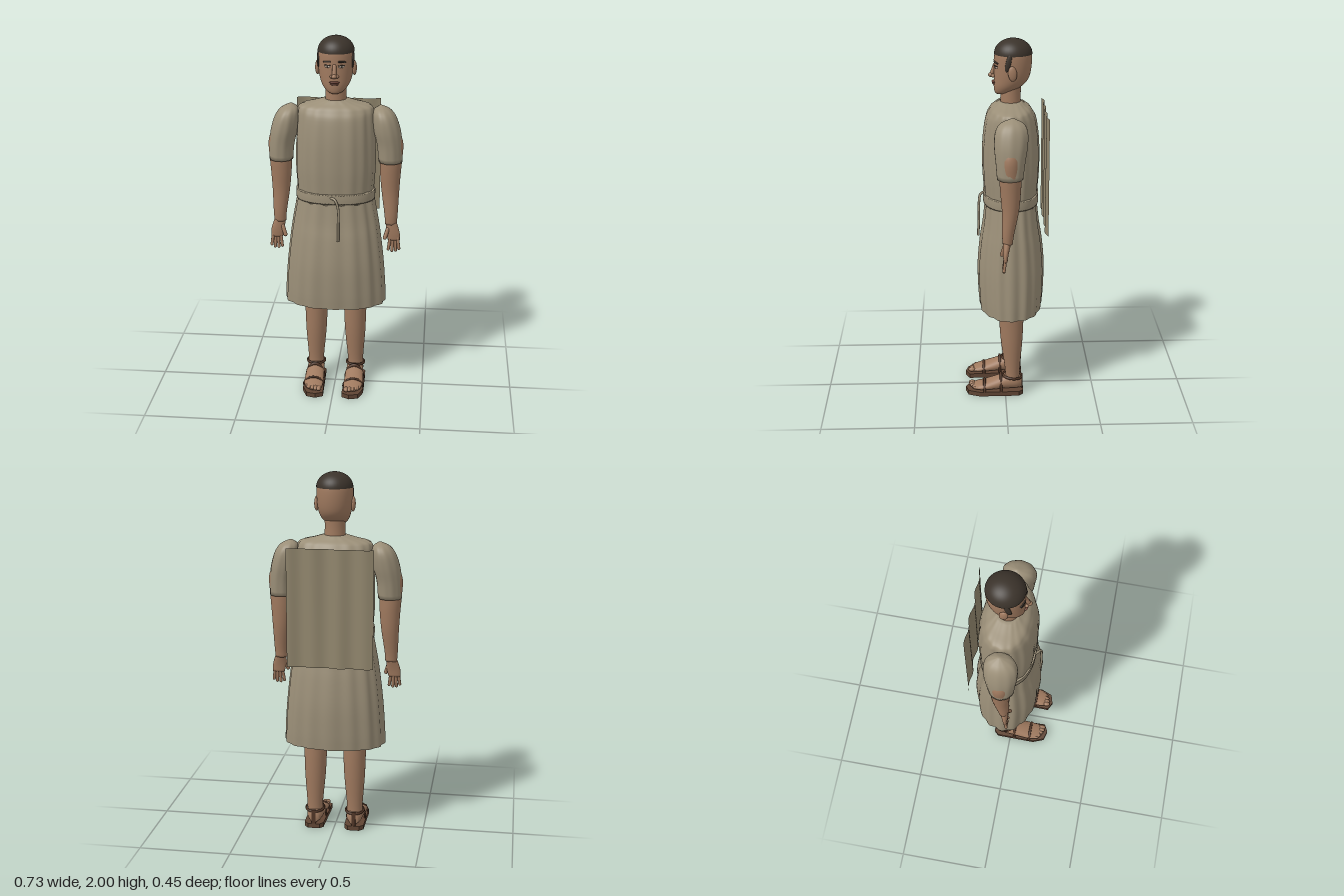
import * as THREE from 'three';

const mat = (name, color, side = THREE.FrontSide) => {
  const m = new THREE.MeshStandardMaterial({ color, side });
  m.name = name;
  return m;
};

// Smooth body through elliptical rings [y, cx, cz, rx, rz], listed upwards.
function loft(rows, { seg = 32, steps = 4, pow = 1, fold = 0, folds = 16, caps = true } = {}) {
  const centre = new THREE.CatmullRomCurve3(rows.map(r => new THREE.Vector3(r[1], r[0], r[2])), false, 'catmullrom');
  const size = new THREE.CatmullRomCurve3(rows.map(r => new THREE.Vector3(r[3], 0, r[4])), false, 'catmullrom');
  const n = (rows.length - 1) * steps, pos = [], idx = [];
  const bend = v => Math.sign(v) * Math.abs(v) ** pow;
  for (let i = 0; i <= n; i++) {
    const c = centre.getPoint(i / n), r = size.getPoint(i / n);
    for (let j = 0; j < seg; j++) {
      const a = j / seg * Math.PI * 2;
      const f = 1 + fold * (Math.cos(a * folds) + 0.5 * Math.sin(a * (folds / 2 - 1)));
      pos.push(c.x + bend(Math.cos(a)) * r.x * f, c.y, c.z + bend(Math.sin(a)) * r.z * f);
    }
  }
  for (let i = 0; i < n; i++) for (let j = 0; j < seg; j++) {
    const k = (j + 1) % seg, a = i * seg + j, b = i * seg + k;
    idx.push(a, a + seg, b, b, a + seg, b + seg);
  }
  if (caps) {
    const first = rows[0], last = rows[rows.length - 1], c = pos.length / 3;
    pos.push(first[1], first[0], first[2], last[1], last[0], last[2]);
    for (let j = 0; j < seg; j++) {
      const k = (j + 1) % seg;
      idx.push(c, j, k, c + 1, n * seg + k, n * seg + j);
    }
  }
  const g = new THREE.BufferGeometry();
  g.setAttribute('position', new THREE.Float32BufferAttribute(pos, 3));
  g.setIndex(idx);
  g.computeVertexNormals();
  return g;
}

export function createModel() {
  const model = new THREE.Group();
  const skin = mat('skin', 0xa07a5f), cloth = mat('tunic cloth', 0x9b8f78, THREE.DoubleSide);
  const cloak = mat('cloak cloth', 0x91866d, THREE.DoubleSide), hair = mat('hair', 0x3b332b);
  const leather = mat('strap leather', 0x4f3526), soleMat = mat('sole leather', 0x604534);
  const lip = mat('lips', 0x74483a), white = mat('eye white', 0xb5a797);
  const add = (name, g, m, p = [0, 0, 0], s = [1, 1, 1], r = [0, 0, 0], parent = model) => {
    const o = new THREE.Mesh(g, m);
    o.name = name;
    o.position.set(...p);
    o.scale.set(...s);
    o.rotation.set(...r);
    parent.add(o);
    return o;
  };
  const ball = new THREE.SphereGeometry(1, 20, 14);

  // Tunic
  const Z = -0.032;
  add('tunicBody', loft([
    [1.1, 0, Z, 0.203, 0.138], [1.17, 0, Z, 0.205, 0.142], [1.3, 0, Z, 0.213, 0.151], [1.45, 0, Z, 0.21, 0.15],
    [1.57, 0, Z, 0.204, 0.135], [1.615, 0, Z, 0.2, 0.115], [1.635, 0, Z, 0.18, 0.1],
    [1.65, 0, Z, 0.12, 0.078], [1.667, 0, Z, 0.062, 0.056],
  ], { seg: 128, pow: 0.88, fold: 0.013 }), cloth);
  add('skirt', loft([
    [0.51, 0, Z, 0.276, 0.17], [0.6, 0, Z, 0.273, 0.177], [0.75, 0, Z, 0.262, 0.18], [0.9, 0, Z, 0.245, 0.167],
    [1.0, 0, Z, 0.23, 0.151], [1.13, 0, Z, 0.206, 0.137],
  ], { seg: 128, pow: 0.92, fold: 0.018, caps: false }), cloth);

  // Belt with a hanging end
  add('belt', loft([[1.118, 0, Z, 0.214, 0.149], [1.145, 0, Z, 0.215, 0.15], [1.172, 0, Z, 0.214, 0.149]],
    { seg: 96, pow: 0.88 }), cloth);
  const tail = new THREE.CatmullRomCurve3([
    [-0.015, 1.155, 0.112], [0.01, 1.15, 0.132], [0.027, 1.105, 0.14], [0.028, 1.02, 0.141], [0.028, 0.92, 0.145],
  ].map(p => new THREE.Vector3(...p)));
  add('beltEnd', new THREE.TubeGeometry(tail, 30, 0.007, 8), cloth);

  // Rippled cloak panel behind the back
  const sheet = new THREE.PlaneGeometry(0.46, 0.64, 64, 8), sp = sheet.attributes.position;
  for (let i = 0; i < sp.count; i++) {
    const x = sp.getX(i);
    sp.setZ(i, 0.006 * Math.sin(x * 46 + 0.6) + 0.002 * Math.sin(x * 21 + sp.getY(i) * 2));
  }
  sheet.computeVertexNormals();
  add('cloak', sheet, cloak, [0, 1.3, -0.217]);

  // Head and neck
  add('neck', loft([[1.62, 0, -0.032, 0.058, 0.054], [1.7, 0, -0.032, 0.055, 0.053], [1.76, 0, -0.035, 0.055, 0.053]]), skin);
  add('head', loft([
    [1.708, 0, 0.018, 0.022, 0.026], [1.72, 0, 0.005, 0.046, 0.048], [1.75, 0, -0.017, 0.071, 0.074],
    [1.79, 0, -0.035, 0.086, 0.091], [1.85, 0, -0.043, 0.094, 0.098], [1.92, 0, -0.045, 0.094, 0.098],
    [1.955, 0, -0.045, 0.08, 0.085],
  ], { seg: 40 }), skin);
  add('hairCap', new THREE.SphereGeometry(1, 40, 16, 0, Math.PI * 2, 0, Math.PI / 2), hair, [0, 1.92, -0.045], [0.097, 0.08, 0.1]);
  add('noseBridge', new THREE.CapsuleGeometry(0.011, 0.045, 6, 12), skin, [0, 1.838, 0.058], [1, 1, 1], [-0.35, 0, 0]);
  add('noseTip', ball, skin, [0, 1.808, 0.07], [0.014, 0.013, 0.016]);
  add('upperLip', ball, lip, [0, 1.773, 0.056], [0.028, 0.006, 0.012]);
  add('lowerLip', ball, lip, [0, 1.763, 0.054], [0.023, 0.006, 0.012]);

  for (const s of [1, -1]) {
    const side = new THREE.Group();
    side.name = s > 0 ? 'leftSide' : 'rightSide';
    model.add(side);
    const put = (name, g, m, p, sc, r) => add(name, g, m, p, sc, r, side);
    const limb = (rows, o) => loft(rows.map(([y, x, ...r]) => [y, x * s, ...r]), o);

    // Face details
    put('nostril', ball, skin, [s * 0.014, 1.805, 0.06], [0.01, 0.009, 0.011]);
    put('eyeWhite', ball, white, [s * 0.036, 1.855, 0.044], [0.017, 0.007, 0.007], [0, s * 0.4, 0]);
    put('iris', ball, hair, [s * 0.036, 1.855, 0.0485], [0.006, 0.006, 0.004]);
    put('eyelid', new THREE.BoxGeometry(0.036, 0.004, 0.008), hair, [s * 0.037, 1.862, 0.047], [1, 1, 1], [0, s * 0.4, 0]);
    put('eyebrow', new THREE.CapsuleGeometry(0.005, 0.035, 4, 8), hair, [s * 0.04, 1.88, 0.046], [1, 1, 1],
      [0, s * 0.42, Math.PI / 2 - s * 0.12]);
    put('ear', ball, skin, [s * 0.097, 1.832, -0.038], [0.013, 0.04, 0.023], [0.1, 0, 0]);
    put('sideburn', ball, hair, [s * 0.09, 1.888, -0.018], [0.008, 0.05, 0.015], [-0.25, 0, 0]);

    // Arm and sleeve
    put('sleeve', limb([
      [1.33, 0.295, -0.018, 0.064, 0.068], [1.42, 0.29, -0.02, 0.067, 0.077], [1.5, 0.275, -0.023, 0.072, 0.087],
      [1.57, 0.26, -0.027, 0.064, 0.084], [1.61, 0.248, -0.03, 0.046, 0.06], [1.634, 0.24, -0.033, 0.008, 0.01],
    ], { seg: 64, fold: 0.012, folds: 10 }), cloth);
    put('arm', limb([
      [0.975, 0.304, -0.006, 0.032, 0.026], [1.03, 0.304, -0.008, 0.036, 0.032], [1.15, 0.298, -0.02, 0.047, 0.044],
      [1.25, 0.296, -0.021, 0.055, 0.053], [1.33, 0.297, -0.02, 0.06, 0.057], [1.44, 0.295, -0.02, 0.066, 0.056],
      [1.52, 0.27, -0.02, 0.05, 0.05],
    ]), skin);

    // Hand
    put('palm', limb([[0.885, 0.322, 0.006, 0.033, 0.011], [0.93, 0.316, 0.004, 0.037, 0.016],
      [0.99, 0.305, -0.004, 0.029, 0.023]], { seg: 24 }), skin);
    [[0.297, 0.862], [0.314, 0.855], [0.331, 0.857], [0.347, 0.868]].forEach(([x, y], i) =>
      put('finger', new THREE.CapsuleGeometry(0.0085, 0.06, 5, 10), skin, [s * x, y, 0.011], [1, 1, 1], [-0.12, 0, s * (i - 1.5) * 0.09]));
    put('thumb', new THREE.CapsuleGeometry(0.011, 0.05, 5, 10), skin, [s * 0.281, 0.925, 0.017], [1, 1, 1], [-0.25, 0, -s * 0.3]);

    // Leg and foot
    put('leg', limb([
      [0.07, 0.113, -0.04, 0.043, 0.04], [0.14, 0.113, -0.04, 0.044, 0.041], [0.3, 0.111, -0.036, 0.057, 0.058],
      [0.42, 0.11, -0.034, 0.062, 0.066], [0.55, 0.11, -0.032, 0.066, 0.07], [0.9, 0.105, -0.032, 0.075, 0.078],
    ]), skin);
    const foot = limb([
      [-0.095, 0.112, -0.062, 0.025, 0.03], [-0.06, 0.112, -0.073, 0.044, 0.046], [0, 0.112, -0.07, 0.048, 0.043],
      [0.06, 0.112, -0.058, 0.052, 0.034], [0.12, 0.112, -0.047, 0.053, 0.023], [0.165, 0.108, -0.041, 0.046, 0.016],
      [0.185, 0.105, -0.038, 0.03, 0.01],
    ]);
    put('foot', foot.rotateX(Math.PI / 2), skin);
    for (let i = 0; i < 5; i++)
      put('toe', ball, skin, [s * (0.077 + i * 0.018), 0.043, 0.187 - i * i * 0.002], [0.014 - i * 0.0015, 0.013 - i * 0.001, 0.02]);

    // Sandal
    const shape = new THREE.Shape([[0.052, -0.2], [0.06, 0.075], [0.08, 0.1], [0.145, 0.1], [0.168, 0.075],
      [0.17, -0.145], [0.145, -0.208], [0.095, -0.222]].map(([x, y]) => new THREE.Vector2(s * x, y)));
    put('sole', new THREE.ExtrudeGeometry(shape, { depth: 0.026, bevelEnabled: false }), soleMat, [0, 0, 0], [1, 1, 1], [-Math.PI / 2, 0, 0]);
    for (const [z, r, h] of [[0.118, 0.056, 0.049], [0.025, 0.052, 0.085]])
      put('strap', new THREE.TorusGeometry(r, 0.006, 8, 28, Math.PI), leather, [s * 0.112, 0.026, z], [1, h / r, 1.3]);
    put('ankleStrap', new THREE.TorusGeometry(0.05, 0.006, 8, 36), leather, [s * 0.113, 0.103, -0.04], [1, 1.05, 1.3],
      [Math.PI / 2 - 0.1, 0, 0]);
    put('heelStrap', new THREE.BoxGeometry(0.022, 0.085, 0.008), leather, [s * 0.113, 0.065, -0.094]);
  }
  return model;
}
